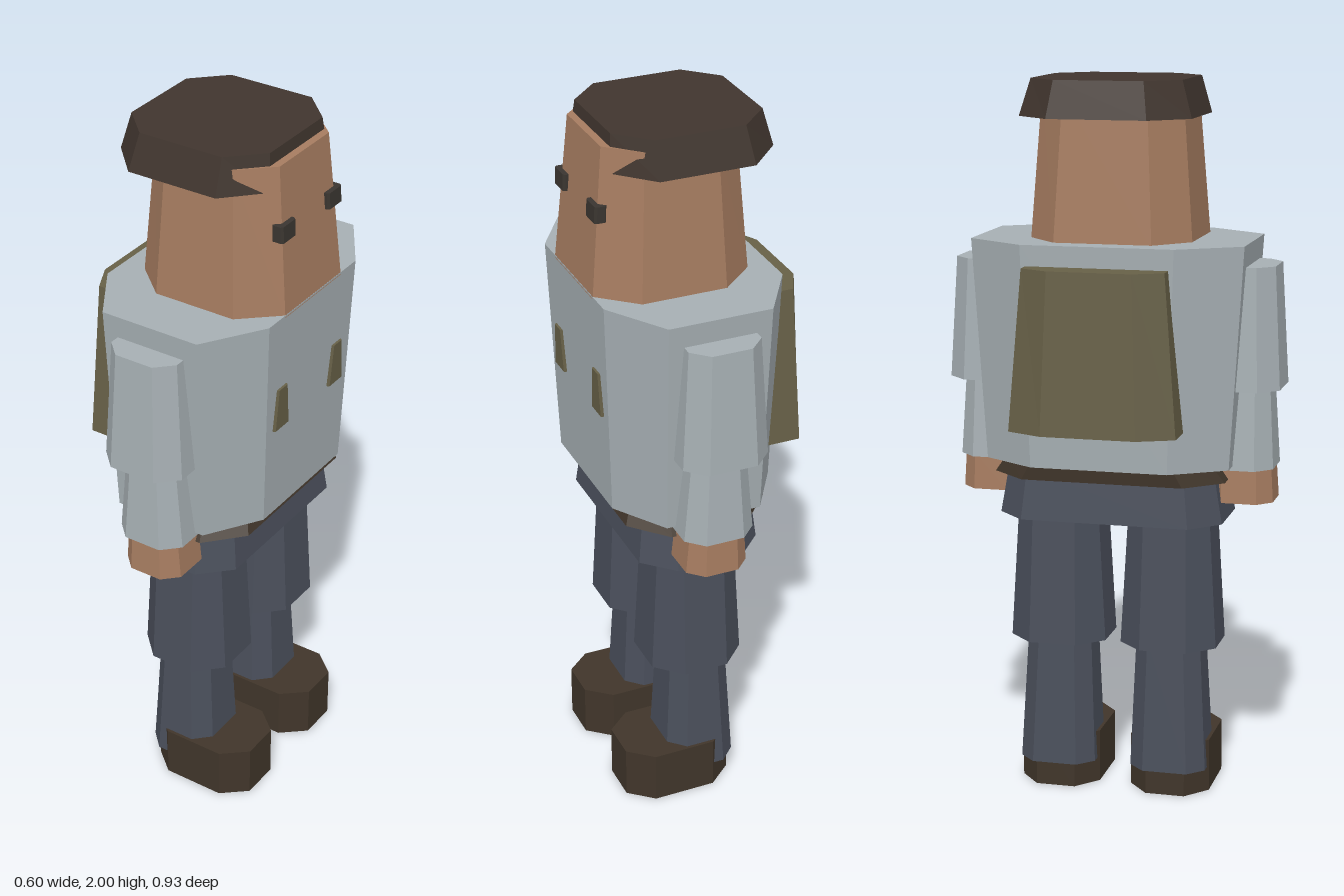
import * as THREE from 'three';

const paint = (name, color) => new THREE.MeshStandardMaterial({ name, color, flatShading: true });

// Octagonal outline: [x0, x1, z0, z1, chamfer along x, chamfer along z]
function octagon([x0, x1, z0, z1, cx, cz], y) {
  return [
    [x1, z0 + cz], [x1, z1 - cz], [x1 - cx, z1], [x0 + cx, z1],
    [x0, z1 - cz], [x0, z0 + cz], [x0 + cx, z0], [x1 - cx, z0],
  ].map(([x, z]) => [x, y, z]);
}

// Tapered block with chamfered upright edges
function taperedBlock(y0, bottom, y1, top) {
  const b = octagon(bottom, y0), t = octagon(top, y1), v = [];
  const tri = (...p) => p.forEach((q) => v.push(...q));
  for (let i = 0; i < 8; i++) {
    const j = (i + 1) % 8;
    tri(b[i], t[j], b[j]);
    tri(b[i], t[i], t[j]);
    if (i > 0 && i < 7) {
      tri(t[0], t[j], t[i]);
      tri(b[0], b[i], b[j]);
    }
  }
  const geo = new THREE.BufferGeometry();
  geo.setAttribute('position', new THREE.Float32BufferAttribute(v, 3));
  geo.computeVertexNormals();
  return geo;
}

// Mirror an outline to the other side of the body
const flip = ([x0, x1, z0, z1, cx, cz]) => [x0, x1, -z1, -z0, cx, cz];

export function createModel() {
  const group = new THREE.Group();
  const skin = paint('skin', 0xa67c60);
  const hair = paint('hair', 0x40352e);
  const shirt = paint('shirt', 0xa6afb3);
  const trousers = paint('trousers', 0x4a4f5b);
  const leather = paint('leather', 0x40352a);
  const canvas = paint('canvas', 0x676047);
  const dark = paint('eyes', 0x3a3530);

  const add = (name, mat, y0, bottom, y1, top) => {
    const mesh = new THREE.Mesh(taperedBlock(y0, bottom, y1, top), mat);
    mesh.name = name;
    group.add(mesh);
  };
  const addPair = (name, mat, y0, bottom, y1, top) => {
    add('left' + name, mat, y0, flip(bottom), y1, flip(top));
    add('right' + name, mat, y0, bottom, y1, top);
  };

  // Head and hair
  add('head', skin, 1.56, [-0.14, 0.297, -0.225, 0.225, 0.1, 0.09], 1.967, [-0.11, 0.26, -0.195, 0.195, 0.085, 0.08]);
  add('hair', hair, 1.9, [-0.206, 0.246, -0.236, 0.236, 0.095, 0.1], 2, [-0.18, 0.236, -0.207, 0.207, 0.085, 0.085]);

  // Trunk
  add('torso', shirt, 0.957, [-0.185, 0.275, -0.34, 0.34, 0.095, 0.15], 1.567, [-0.205, 0.297, -0.378, 0.378, 0.107, 0.168]);
  add('belt', leather, 0.915, [-0.155, 0.25, -0.325, 0.325, 0.09, 0.1], 0.97, [-0.16, 0.225, -0.285, 0.285, 0.08, 0.09]);
  add('hips', trousers, 0.795, [-0.13, 0.217, -0.315, 0.315, 0.08, 0.08], 0.94, [-0.115, 0.2, -0.29, 0.29, 0.07, 0.07]);

  // Backpack and its strap ends on the chest
  add('backpack', canvas, 1.07, [-0.303, -0.1, -0.23, 0.23, 0.045, 0.1], 1.51, [-0.285, -0.12, -0.195, 0.195, 0.04, 0.08]);
  addPair('Strap', canvas, 1.23, [0.27, 0.293, 0.1, 0.168, 0.003, 0.003], 1.352, [0.27, 0.296, 0.113, 0.157, 0.003, 0.003]);

  // Eyes
  addPair('Eye', dark, 1.772, [0.255, 0.29, 0.077, 0.143, 0.006, 0.006], 1.817, [0.255, 0.288, 0.077, 0.143, 0.006, 0.006]);

  // Arms
  addPair('UpperArm', shirt, 1.17, [-0.075, 0.166, 0.24, 0.465, 0.053, 0.053], 1.505, [-0.055, 0.147, 0.26, 0.447, 0.045, 0.045]);
  addPair('Forearm', shirt, 0.945, [-0.04, 0.157, 0.25, 0.445, 0.045, 0.045], 1.18, [-0.02, 0.135, 0.27, 0.432, 0.036, 0.036]);
  addPair('Hand', skin, 0.848, [-0.02, 0.153, 0.265, 0.443, 0.04, 0.04], 0.95, [-0.015, 0.143, 0.27, 0.437, 0.036, 0.036]);

  // Legs and shoes
  addPair('Thigh', trousers, 0.43, [-0.09, 0.177, 0.022, 0.295, 0.07, 0.07], 0.81, [-0.07, 0.157, 0.043, 0.273, 0.055, 0.055]);
  addPair('Shin', trousers, 0.07, [-0.07, 0.135, 0.052, 0.268, 0.045, 0.045], 0.45, [-0.05, 0.115, 0.066, 0.248, 0.04, 0.04]);
  addPair('Shoe', leather, 0, [-0.058, 0.256, 0.046, 0.273, 0.068, 0.058], 0.15, [-0.058, 0.256, 0.046, 0.273, 0.068, 0.058]);

  return group;
}
